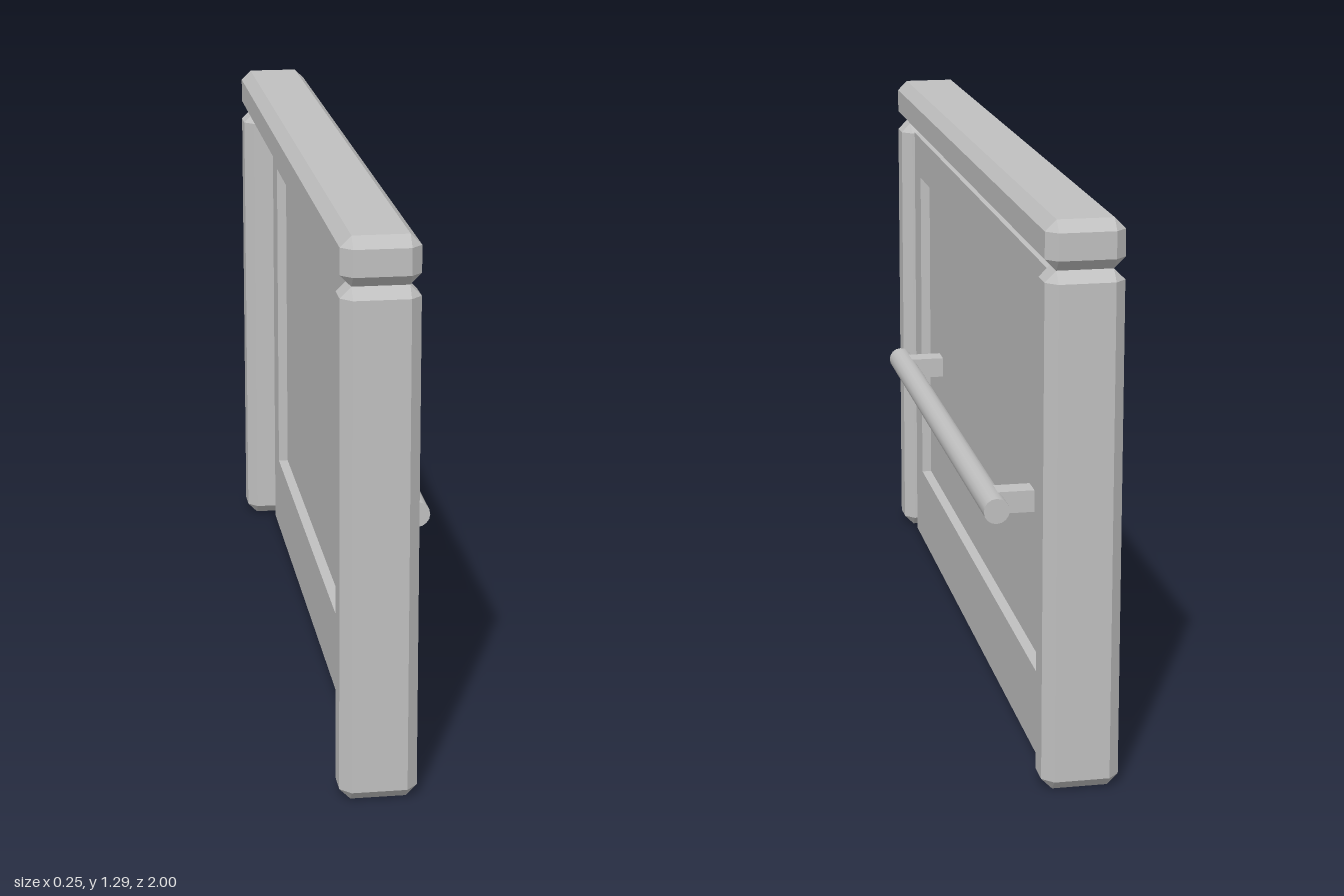
import * as THREE from 'three';
import { ConvexGeometry } from 'three/addons/geometries/ConvexGeometry.js';

const grey = new THREE.MeshStandardMaterial({ color: 0xc0c0c0 });
grey.name = 'plain grey';

// Box with every edge and corner cut at 45 degrees
function chamferedBox(w, h, d, c) {
  const points = [];
  for (const sx of [-1, 1]) for (const sy of [-1, 1]) for (const sz of [-1, 1]) {
    const x = w / 2, y = h / 2, z = d / 2;
    points.push(
      new THREE.Vector3(sx * x, sy * (y - c), sz * (z - c)),
      new THREE.Vector3(sx * (x - c), sy * y, sz * (z - c)),
      new THREE.Vector3(sx * (x - c), sy * (y - c), sz * z));
  }
  return new ConvexGeometry(points);
}

export function createModel() {
  const model = new THREE.Group();
  model.name = 'panelGate';

  function add(name, geometry, x, y, z) {
    const mesh = new THREE.Mesh(geometry, grey);
    mesh.name = name;
    mesh.position.set(x, y, z);
    model.add(mesh);
  }

  // Top rail and the two posts
  const frameX = -0.0375, frameWidth = 0.175, chamfer = 0.025;
  add('topRail', chamferedBox(frameWidth, 0.11, 2, chamfer), frameX, 1.235, 0);
  for (const s of [-1, 1]) {
    add('post', chamferedBox(frameWidth, 1.18, 0.11, chamfer), frameX, 0.59, s * 0.945);
  }

  // Door frame with a rectangular opening
  const outline = new THREE.Shape([
    new THREE.Vector2(-0.875, 0), new THREE.Vector2(0.875, 0),
    new THREE.Vector2(0.875, 1.16), new THREE.Vector2(-0.875, 1.16)]);
  outline.holes.push(new THREE.Path([
    new THREE.Vector2(-0.78, 0.2), new THREE.Vector2(-0.78, 1.05),
    new THREE.Vector2(0.78, 1.05), new THREE.Vector2(0.78, 0.2)]));
  const door = new THREE.ExtrudeGeometry(outline, { depth: 0.07, bevelEnabled: false });
  door.rotateY(Math.PI / 2);
  add('doorFrame', door, -0.05, 0, 0);

  // Recessed panel inside the opening
  add('doorPanel', new THREE.BoxGeometry(0.02, 0.85, 1.56), -0.015, 0.625, 0);

  // Bar handle on two brackets
  const bar = new THREE.CylinderGeometry(0.03, 0.03, 1.38, 16);
  bar.rotateX(Math.PI / 2);
  add('handleBar', bar, 0.095, 0.56, 0);
  for (const s of [-1, 1]) {
    add('handleBracket', new THREE.BoxGeometry(0.095, 0.052, 0.055), 0.0425, 0.56, s * 0.603);
  }
  return model;
}
